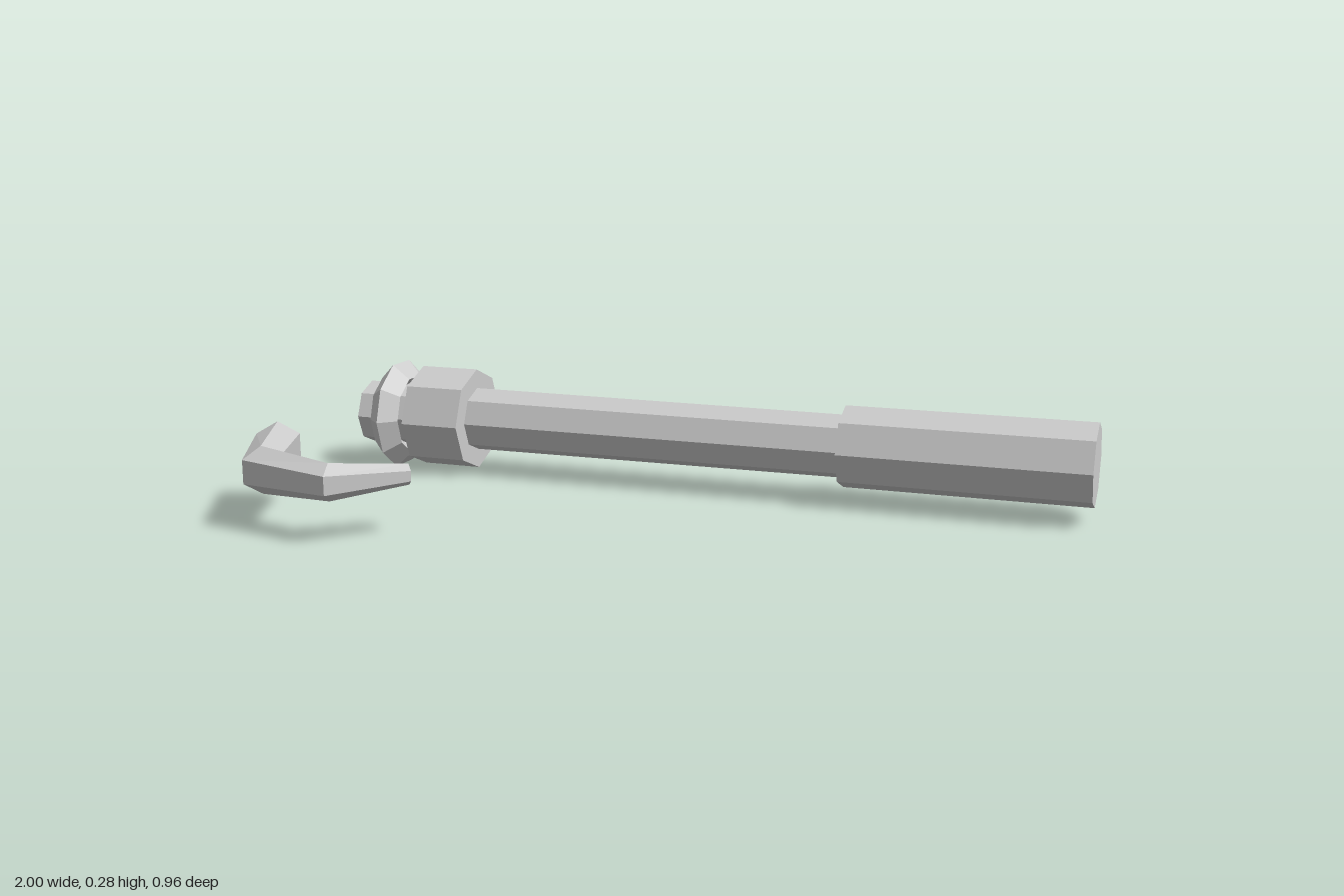
import * as THREE from 'three';

const AXIS_Y = 0.143, AXIS_Z = -0.333;

export function createModel() {
  const group = new THREE.Group();
  const steel = new THREE.MeshStandardMaterial({ color: 0xcccccc, flatShading: true });
  steel.name = 'light grey';

  const add = (name, geometry, x = 0, y = 0, z = 0) => {
    const mesh = new THREE.Mesh(geometry, steel);
    mesh.name = name;
    mesh.position.set(x, y, z);
    group.add(mesh);
  };

  // Octagonal bar lying along x
  const bar = (name, x0, x1, r0, r1 = r0) => {
    const g = new THREE.CylinderGeometry(r0, r1, x1 - x0, 8);
    g.rotateZ(Math.PI / 2);
    add(name, g, (x0 + x1) / 2, AXIS_Y, AXIS_Z);
  };
  bar('shaft', -0.95, 0.4, 0.085, 0.081);
  bar('grip', 0.385, 1, 0.105);
  bar('collar', -0.79, -0.63, 0.135);

  // Diamond-section ring near the end of the shaft
  const ring = new THREE.TorusGeometry(0.107, 0.041, 4, 10);
  ring.rotateY(Math.PI / 2);
  add('ring', ring, -0.858, AXIS_Y, AXIS_Z);

  // Bent, tapering hook
  add('hook', hookGeometry(), 0, 0.145, 0);
  return group;
}

// Hexagonal sections: outer x, z, inner x, z, half height
function hookGeometry() {
  const sections = [
    [-1.0, 0.165, -0.9, 0.125, 0.062],
    [-0.873, 0.42, -0.813, 0.35, 0.058],
    [-0.623, 0.477, -0.642, 0.4, 0.045],
    [-0.484, 0.322, -0.512, 0.291, 0.025],
  ];
  const rings = sections.map(([ox, oz, ix, iz, h]) => {
    const loop = [];
    for (let i = 0; i < 6; i++) {
      const a = (i + 0.5) * Math.PI / 3;
      const k = Math.cos(a) / Math.cos(Math.PI / 6) / 2;
      loop.push([(ox + ix) / 2 + (ox - ix) * k, h * Math.sin(a), (oz + iz) / 2 + (oz - iz) * k]);
    }
    return loop;
  });
  const pos = [];
  const tri = (a, b, c) => pos.push(...a, ...b, ...c);
  // Sides
  for (let s = 0; s < rings.length - 1; s++) {
    const a = rings[s], b = rings[s + 1];
    for (let i = 0; i < 6; i++) {
      const j = (i + 1) % 6;
      tri(a[i], b[i], b[j]);
      tri(a[i], b[j], a[j]);
    }
  }
  // End caps
  const first = rings[0], last = rings[rings.length - 1];
  for (let i = 1; i < 5; i++) {
    tri(first[0], first[i], first[i + 1]);
    tri(last[0], last[i + 1], last[i]);
  }
  const g = new THREE.BufferGeometry();
  g.setAttribute('position', new THREE.Float32BufferAttribute(pos, 3));
  g.computeVertexNormals();
  return g;
}
